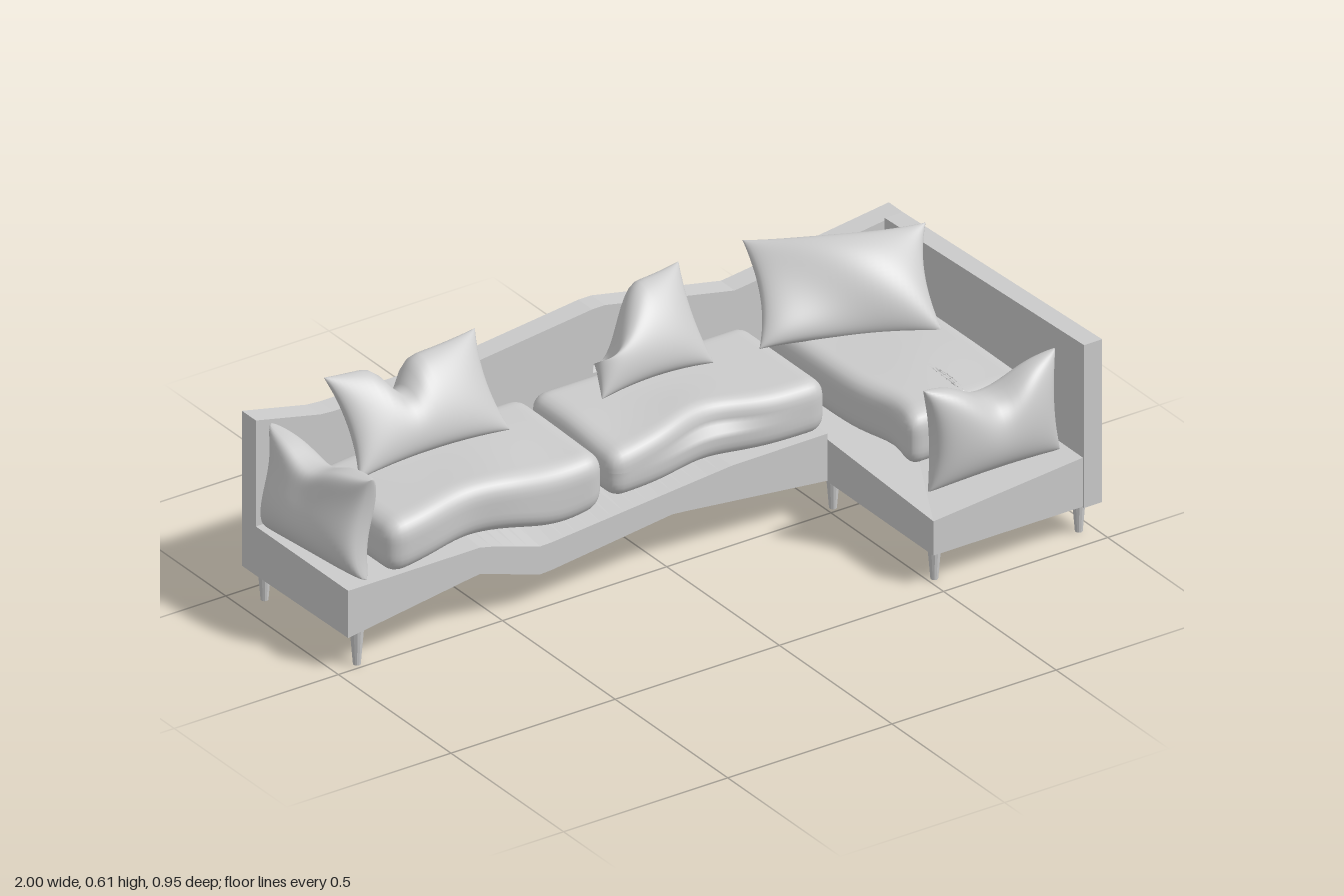
import * as THREE from 'three';
import { mergeGeometries, mergeVertices } from 'three/addons/utils/BufferGeometryUtils.js';

const soft = new THREE.MeshStandardMaterial({ color: 0xcccccc });
const hard = new THREE.MeshStandardMaterial({ color: 0xcccccc, flatShading: true });

// Piecewise-linear profile through [x, y] points
const profile = (pts) => (x) => {
  for (let i = 1; i < pts.length; i++) {
    const [x0, y0] = pts[i - 1], [x1, y1] = pts[i];
    if (x <= x1 || i === pts.length - 1) return THREE.MathUtils.lerp(y0, y1, THREE.MathUtils.clamp((x - x0) / (x1 - x0), 0, 1));
  }
};
const bell = (x, c, s) => Math.exp(-(((x - c) / s) ** 2));

// Move every vertex of a geometry by a rule
function warp(geo, rule) {
  const p = geo.attributes.position, v = new THREE.Vector3();
  for (let i = 0; i < p.count; i++) {
    v.fromBufferAttribute(p, i);
    rule(v);
    p.setXYZ(i, v.x, v.y, v.z);
  }
  geo.computeVertexNormals();
  return geo;
}

// Drop the seams so that normals are smooth all round
function weld(geo) {
  geo.deleteAttribute('uv');
  geo.deleteAttribute('normal');
  const g = mergeVertices(geo, 1e-5);
  g.computeVertexNormals();
  return g;
}

// Straight-sided frame part with a bent underside and top
function slab(x0, x1, z0, z1, bottom, top, segments) {
  const g = new THREE.BoxGeometry(x1 - x0, 1, z1 - z0, segments, 1, 1);
  g.translate((x0 + x1) / 2, 0, (z0 + z1) / 2);
  return warp(g, (v) => { v.y = v.y < 0 ? bottom(v.x, v.z) : top(v.x, v.z); });
}

// Rounded seat pad; rule adds the sag and dents
function seatPad(w, h, d, r, rule) {
  const g = weld(new THREE.BoxGeometry(w, h, d, 36, 10, 30));
  const half = new THREE.Vector3(w / 2 - r, h / 2 - r, d / 2 - r), inner = new THREE.Vector3();
  return warp(g, (v) => {
    inner.copy(v).clamp(half.clone().negate(), half);
    v.sub(inner).normalize().multiplyScalar(r).add(inner);
    rule(v);
  });
}

// Scatter pillow: two puffed faces meeting at a seam with drawn-out corners
function pillow(w, h, t, power, rule) {
  const front = new THREE.PlaneGeometry(2, 2, 32, 32);
  const back = front.clone().rotateY(Math.PI);
  front.translate(0, 0, 1);
  back.translate(0, 0, -1);
  const g = warp(mergeGeometries([front, back]), (v) => {
    const u = Math.sin(v.x * Math.PI / 2), k = Math.sin(v.y * Math.PI / 2), side = Math.sign(v.z);
    const a = Math.max(0, 1 - u * u), b = Math.max(0, 1 - k * k);
    v.set(u * w / 2 * (1 - 0.1 * b), k * h / 2 * (1 - 0.1 * a), side * t / 2 * Math.pow(a * b, power));
    rule(v, u, k);
  });
  return weld(g);
}

export function createModel() {
  const sofa = new THREE.Group();
  const add = (name, geo, mat, pos = [0, 0, 0], rot = [0, 0, 0]) => {
    const m = new THREE.Mesh(geo, mat);
    m.name = name;
    m.position.set(...pos);
    m.rotation.set(rot[0], rot[1], rot[2], 'YXZ');
    sofa.add(m);
  };

  // Frame: long base, chaise base, back wall and tall side wall
  const frontBottom = profile([[-0.97, 0.095], [-0.57, 0.155], [-0.38, 0.095], [0.02, 0.145], [0.49, 0.095]]);
  const backBottom = profile([[-0.97, 0.09], [-0.43, 0.125], [-0.2, 0.145], [0.46, 0.09], [1, 0.09]]);
  const frontTop = profile([[-0.97, 0.23], [-0.56, 0.23], [-0.38, 0.175], [0, 0.21], [0.2, 0.228], [0.49, 0.23]]);
  const backTop = profile([[-0.97, 0.533], [-0.76, 0.487], [-0.36, 0.487], [0.08, 0.538], [0.49, 0.455], [1, 0.522]]);
  const mix = THREE.MathUtils.lerp;
  add('longBase', slab(-0.97, 0.49, -0.41, 0,
    (x, z) => mix(backBottom(x), frontBottom(x), (z + 0.41) / 0.41),
    (x, z) => mix(0.23, frontTop(x), (z + 0.41) / 0.41), 40), hard);
  add('chaiseBase', slab(0.49, 0.945, -0.41, 0.47, () => 0.092,
    (x, z) => 0.232 - (z > 0 && x < 0.6 ? 0.042 : 0), 1), hard);
  add('backWall', slab(-0.97, 1, -0.472, -0.41, backBottom, backTop, 50), hard);
  add('sideWall', slab(0.945, 1, -0.41, 0.475, () => 0.09, (x, z) => mix(0.522, 0.556, (z + 0.41) / 0.885), 1), hard);

  // Tapered legs
  const legSpots = [[-0.93, -0.43], [-0.93, -0.02], [0.52, -0.02], [0.52, 0.43], [0.96, -0.43], [0.96, -0.02], [0.96, 0.43]];
  for (const [x, z] of legSpots) add('leg', new THREE.CylinderGeometry(0.019, 0.01, 0.11, 12), hard, [x, 0.055, z]);

  // Seat pads, sagging along the front edge
  add('leftSeatPad', seatPad(0.66, 0.15, 0.39, 0.05, (v) => {
    const f = THREE.MathUtils.smoothstep(v.z, -0.1, 0.2), low = v.y < 0 ? 1 : 0.4;
    v.y += f * (0.012 * bell(v.x, 0, 0.15) - 0.03 * low * bell(v.x, 0.2, 0.14));
    v.z -= 0.02 * f * bell(v.x, -0.08, 0.1);
    v.y -= 0.015 * bell(v.x, -0.33, 0.12);
  }), soft, [-0.51, 0.308, -0.195]);
  add('middleSeatPad', seatPad(0.66, 0.15, 0.385, 0.045, (v) => {
    const f = THREE.MathUtils.smoothstep(v.z, -0.05, 0.2);
    v.z -= 0.045 * f * bell(v.x, 0, 0.13) * (v.y > 0 ? 1 : 0.5);
    v.y += 0.012 * f * bell(v.x, -0.05, 0.12) - 0.02 * f * bell(v.x, -0.33, 0.12) * (v.y > 0 ? 1 : 0);
  }), soft, [0.165, 0.306, -0.192]);
  add('chaiseSeatPad', seatPad(0.4, 0.15, 0.67, 0.045, (v) => {
    v.x += 0.03 * bell(v.z, 0.22, 0.1) * (v.x < 0 ? 1 : 0);
    v.y += 0.012 * bell(v.x, 0, 0.15) * bell(v.z, 0.1, 0.2);
  }), soft, [0.73, 0.308, -0.045]);

  // Scatter pillows
  const up = (k) => Math.max(0, (1 + k) / 2) ** 2;
  add('notchedPillow', pillow(0.46, 0.27, 0.12, 0.45, (v, u, k) => {
    v.y -= 0.075 * up(k) * bell(u, -0.18, 0.17);
    v.z -= 0.03 * up(k) * bell(u, -0.18, 0.2);
  }), soft, [-0.555, 0.503, -0.3], [-0.62, 0, 0]);
  add('foldedPillow', pillow(0.34, 0.27, 0.12, 0.45, (v, u, k) => {
    v.y -= 0.2 * up(k) * THREE.MathUtils.smoothstep(-u, -0.25, 0.9);
  }), soft, [0.125, 0.503, -0.3], [-0.62, 0, 0]);
  add('cornerPillow', pillow(0.47, 0.29, 0.13, 0.45, (v, u, k) => {
    v.z += 0.012 * Math.sin(3 * u + 2 * k);
  }), soft, [0.7, 0.48, -0.24], [-0.75, -0.4, 0]);
  add('chaisePillow', pillow(0.4, 0.28, 0.15, 0.4, (v, u, k) => {
    v.y -= 0.06 * up(k) * bell(u, 0, 0.45);
    v.z -= 0.025 * up(k) * bell(u, 0, 0.3);
  }), soft, [0.725, 0.37, 0.385], [-0.08, 0, 0]);
  add('endPillow', pillow(0.39, 0.28, 0.14, 0.32, (v, u, k) => {
    v.y -= 0.04 * up(k) * bell(u, 0.1, 0.4);
    v.z += 0.015 * Math.sin(2.5 * k);
  }), soft, [-0.917, 0.375, -0.21], [0, Math.PI / 2 + 0.1, 0]);

  return sofa;
}
